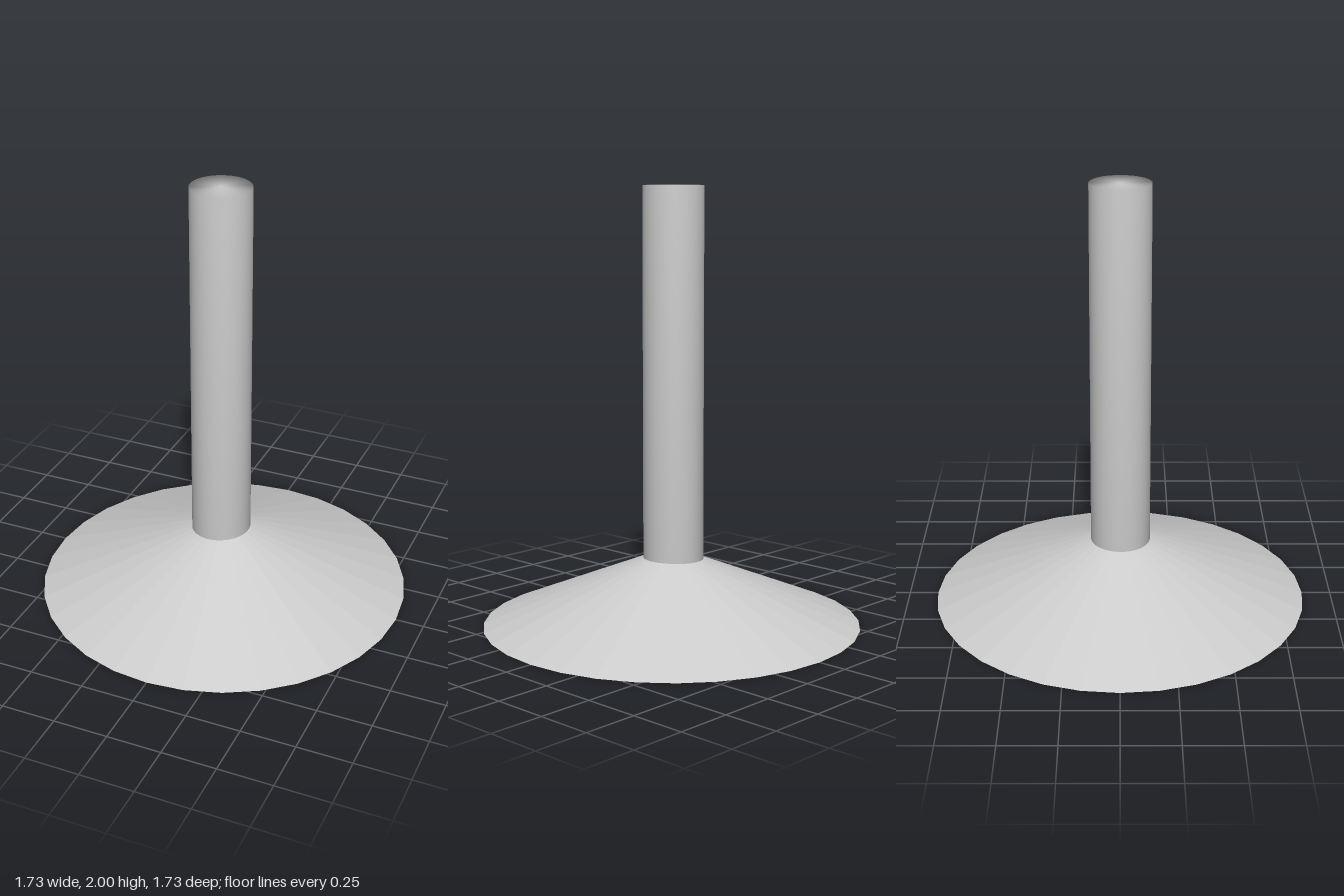
import * as THREE from 'three';
import { mergeVertices } from 'three/addons/utils/BufferGeometryUtils.js';

// Share vertices between wall and caps so shading rolls softly over the rims
function softened(geometry) {
  geometry.deleteAttribute('normal');
  geometry.deleteAttribute('uv');
  const merged = mergeVertices(geometry, 1e-4);
  merged.computeVertexNormals();
  return merged;
}

export function createModel() {
  const model = new THREE.Group();

  // Shallow faceted cone with a closed underside
  const baseHeight = 0.36;
  const base = new THREE.Mesh(
    new THREE.ConeGeometry(0.867, baseHeight, 32),
    new THREE.MeshStandardMaterial({ color: 0xcccccc, flatShading: true })
  );
  base.name = 'base';
  base.position.y = baseHeight / 2;

  // Smooth upright post, set slightly off centre and sunk into the base
  const postBottom = 0.25, postTop = 2;
  const postHeight = postTop - postBottom;
  const post = new THREE.Mesh(
    softened(new THREE.CylinderGeometry(0.138, 0.138, postHeight, 64)),
    new THREE.MeshStandardMaterial({ color: 0xcccccc })
  );
  post.name = 'post';
  post.position.set(-0.013, postBottom + postHeight / 2, 0.002);

  model.add(base, post);
  return model;
}
